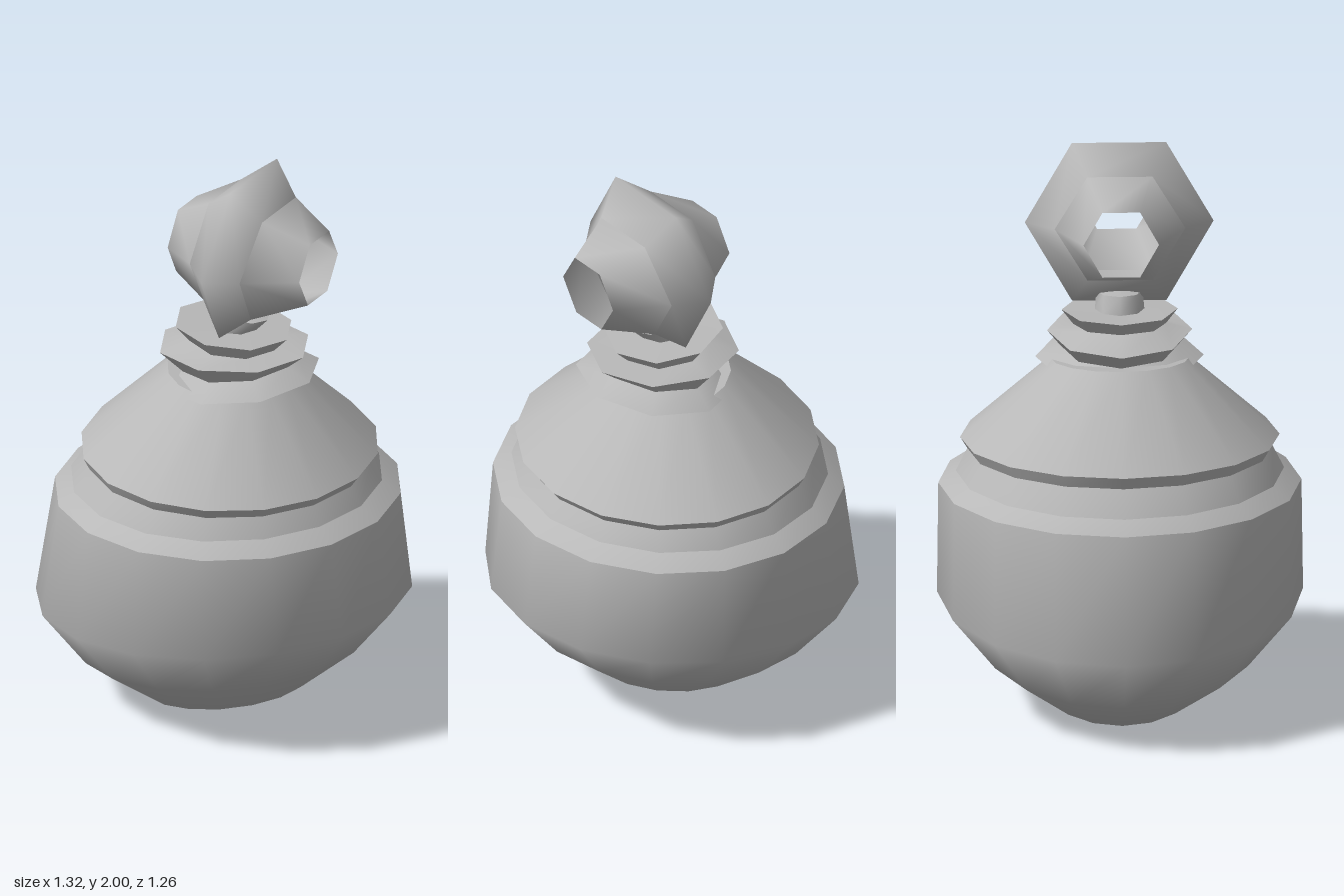
import * as THREE from 'three';

const grey = new THREE.MeshStandardMaterial({ color: 0xb8b8b8, side: THREE.DoubleSide });
grey.name = 'grey';

// Smooth band through tilted rings. Each ring is [xA, yA, xB, yB, zRadius],
// where A and B are its opposite ends in the middle plane.
function band(name, rings, sides, phase = 0) {
  const pos = [], idx = [], k = 0.5 / Math.cos(phase);
  for (const [xa, ya, xb, yb, rz] of rings) {
    for (let i = 0; i < sides; i++) {
      const t = phase + (i / sides) * Math.PI * 2, c = Math.cos(t) * k;
      pos.push((xa + xb) / 2 + (xb - xa) * c, (ya + yb) / 2 + (yb - ya) * c, rz * Math.sin(t));
    }
  }
  for (let r = 0; r < rings.length - 1; r++) {
    for (let i = 0; i < sides; i++) {
      const j = (i + 1) % sides, a = r * sides + i, b = r * sides + j;
      idx.push(a, a + sides, b, b, a + sides, b + sides);
    }
  }
  const g = new THREE.BufferGeometry();
  g.setAttribute('position', new THREE.Float32BufferAttribute(pos, 3));
  g.setIndex(idx);
  g.computeVertexNormals();
  const mesh = new THREE.Mesh(g, grey);
  mesh.name = name;
  return mesh;
}

// Separate bands between neighbouring rings, leaving a sharp edge at each ring
function creased(name, rings, sides, phase) {
  const group = new THREE.Group();
  group.name = name;
  for (let i = 0; i < rings.length - 1; i++)
    group.add(band(name + 'Band' + (i + 1), [rings[i], rings[i + 1]], sides, phase));
  return group;
}

export function createModel() {
  const model = new THREE.Group();
  model.name = 'flask';

  // Round, slightly lopsided bowl
  model.add(band('bowl', [
    [0.0, 0.0, 0.01, 0.0, 0.005],
    [-0.28, 0.01, 0.3, 0.1, 0.26],
    [-0.51, 0.155, 0.51, 0.28, 0.47],
    [-0.66, 0.36, 0.655, 0.46, 0.63],
    [-0.58, 0.805, 0.605, 0.8, 0.625],
  ], 16));

  // Stepped shoulder under the lid
  model.add(creased('shoulder', [
    [-0.58, 0.805, 0.605, 0.8, 0.625],
    [-0.525, 0.85, 0.54, 0.845, 0.565],
    [-0.465, 0.94, 0.5, 0.91, 0.525],
  ], 16));

  // Conical lid with an overhanging lip
  model.add(creased('lid', [
    [-0.465, 0.94, 0.5, 0.91, 0.525],
    [-0.485, 0.985, 0.525, 0.945, 0.55],
    [-0.19, 1.27, 0.25, 1.225, 0.24],
    [0.02, 1.25, 0.03, 1.25, 0.005],
  ], 16));

  // Neck of stacked, tilted frills
  model.add(creased('neck', [
    [-0.17, 1.2, 0.235, 1.22, 0.22],
    [-0.2, 1.215, 0.335, 1.265, 0.29],
    [-0.14, 1.265, 0.25, 1.305, 0.205],
    [-0.235, 1.335, 0.31, 1.355, 0.25],
    [-0.12, 1.38, 0.195, 1.355, 0.16],
    [-0.175, 1.435, 0.245, 1.407, 0.2],
    [-0.05, 1.425, 0.125, 1.418, 0.085],
    [-0.03, 1.487, 0.17, 1.465, 0.08],
    [0.05, 1.49, 0.08, 1.49, 0.015],
  ], 8));

  // Hollow six-sided knob lying across the top
  const rightEnd = [0.368, 1.595, 0.375, 1.825, 0.135];
  const rightStep = [0.17, 1.515, 0.215, 1.895, 0.235];
  const ridge = [0.07, 1.44, 0.115, 2.0, 0.325];
  const leftStep = [-0.02, 1.545, 0.0, 1.915, 0.225];
  const leftEnd = [-0.155, 1.603, -0.148, 1.837, 0.13];
  const knob = new THREE.Group();
  knob.name = 'knob';
  knob.add(
    band('knobRightSpout', [rightEnd, rightStep], 6, Math.PI / 6),
    band('knobRidge', [rightStep, ridge, leftStep], 6, Math.PI / 6),
    band('knobLeftSpout', [leftStep, leftEnd], 6, Math.PI / 6),
  );
  model.add(knob);
  return model;
}
